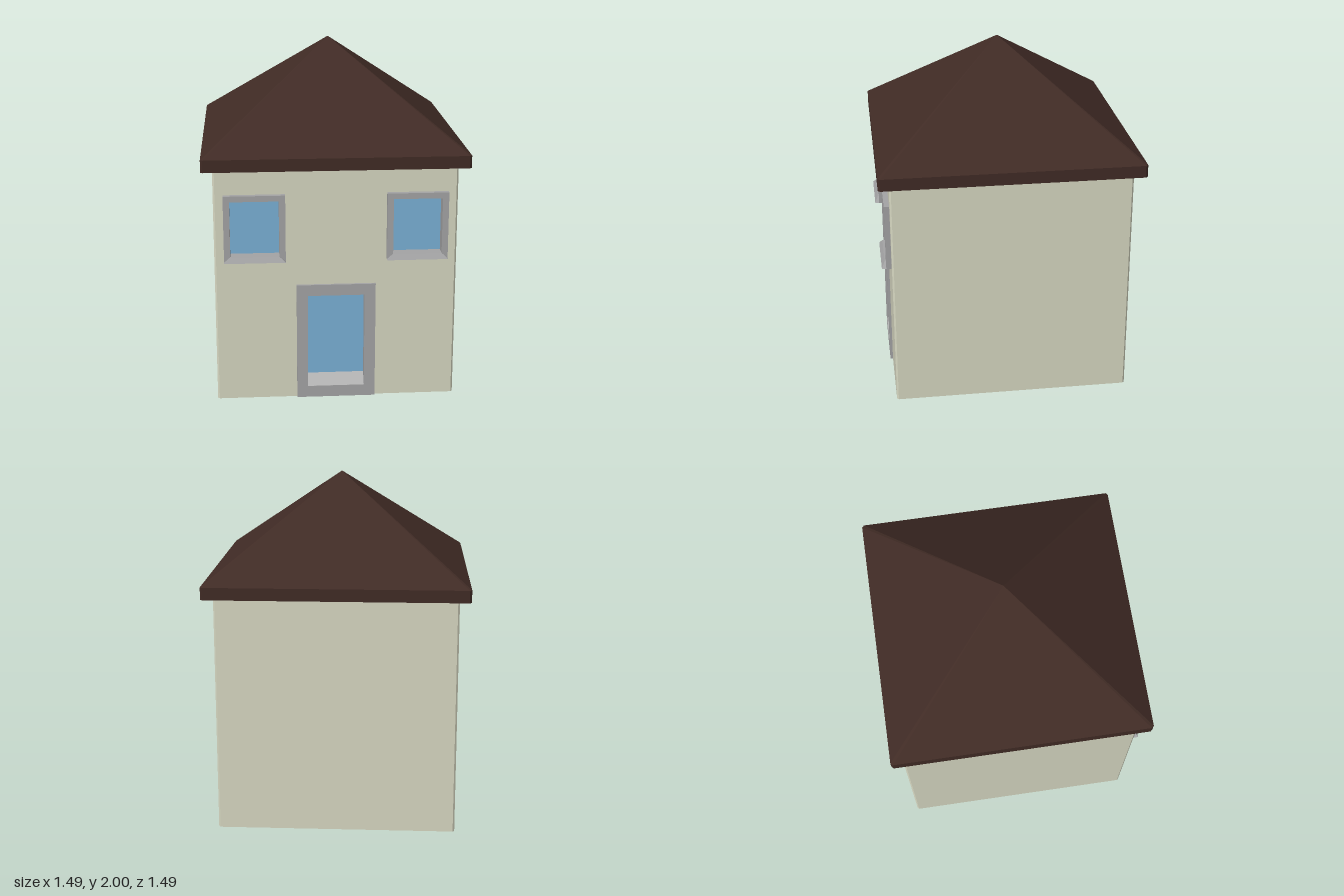
import * as THREE from 'three';

const mat = (color) => new THREE.MeshStandardMaterial({ color, flatShading: true });
const wallMat = mat(0xd6d7c1);
const roofMat = mat(0x402b25);
const frameMat = mat(0xa4a4a5);
const glassMat = mat(0x7ab0d6);
const sillMat = mat(0xb4b4b4);

const GLASS_Z = 0.65;
const HALF = 0.685; // half width of the house
const CUT = 0.01; // corner chamfer

function part(name, geometry, material) {
  const mesh = new THREE.Mesh(geometry, material);
  mesh.name = name;
  return mesh;
}

// Rectangle outline from opposite corners
const rect = (x0, y0, x1, y1) =>
  [[x0, y0], [x1, y0], [x1, y1], [x0, y1]].map((p) => new THREE.Vector2(...p));

// Square with chamfered corners, counter-clockwise
function chamferedSquare(h, c) {
  const k = h - c;
  return [[h, -k], [h, k], [k, h], [-k, h], [-h, k], [-h, -k], [-k, -h], [k, -h]];
}

const extrude = (shape, depth) =>
  new THREE.ExtrudeGeometry(shape, { depth, bevelEnabled: false });

// Extrude a plan outline, given as [x, -z], upwards from y
function extrudeUp(points, y, height) {
  const shape = new THREE.Shape(points.map((p) => new THREE.Vector2(...p)));
  return extrude(shape, height).rotateX(-Math.PI / 2).translate(0, y, 0);
}

// Flat plate in the xy plane with rectangular holes, spanning z0 to z1
function plate(outer, holes, z0, z1) {
  const shape = new THREE.Shape(outer);
  holes.forEach((h) => shape.holes.push(new THREE.Path(h)));
  return extrude(shape, z1 - z0).translate(0, 0, z0);
}

function glassPane(x0, y0, x1, y1) {
  const pane = new THREE.PlaneGeometry(x1 - x0, y1 - y0);
  return part('glass', pane.translate((x0 + x1) / 2, (y0 + y1) / 2, GLASS_Z), glassMat);
}

// Window, centred on its own x = 0
function createWindow() {
  const group = new THREE.Group();
  const [w, ow] = [0.1725, 0.1375];
  group.add(part('windowFrame',
    plate(rect(-w, 0.84, w, 1.225), [rect(-ow, 0.872, ow, 1.192)], 0.645, 0.715), frameMat));
  group.add(glassPane(-ow, 0.872, ow, 1.192));

  // Projecting sill with mitred ends and a sloping face
  const outline = [[-w, 0.842], [w, 0.842], [ow, 0.873], [-ow, 0.873]];
  const sill = plate(outline.map((p) => new THREE.Vector2(...p)), [], 0.69, 0.74);
  const pos = sill.attributes.position;
  for (let i = 0; i < pos.count; i++) {
    if (pos.getY(i) > 0.86 && pos.getZ(i) > 0.7) pos.setZ(i, 0.722);
  }
  sill.computeVertexNormals();
  group.add(part('windowSill', sill, frameMat));
  return group;
}

function createDoor() {
  const group = new THREE.Group();
  group.name = 'door';
  group.add(part('doorFrame',
    plate(rect(-0.225, 0, 0.225, 0.69), [rect(-0.162, 0.068, 0.162, 0.625)], 0.645, 0.7), frameMat));
  group.add(glassPane(-0.162, 0.068, 0.162, 0.625));

  // Sloping threshold: profile in z and y, extruded along x
  const wedge = new THREE.Shape([[-GLASS_Z, 0.068], [-GLASS_Z, 0.13], [-0.699, 0.068]]
    .map((p) => new THREE.Vector2(...p)));
  group.add(part('threshold',
    extrude(wedge, 0.324).rotateY(Math.PI / 2).translate(-0.162, 0, 0), sillMat));
  return group;
}

// Chamfered pyramid rising from the eaves to a point
function hippedRoof(points, y, apex) {
  const verts = [];
  points.forEach(([x, s], i) => {
    const [x2, s2] = points[(i + 1) % points.length];
    verts.push(x, y, -s, x2, y, -s2, 0, apex, 0);
  });
  const g = new THREE.BufferGeometry();
  g.setAttribute('position', new THREE.Float32BufferAttribute(verts, 3));
  g.computeVertexNormals();
  return g;
}

export function createModel() {
  const model = new THREE.Group();
  model.name = 'house';

  // Main body, with the front face set back to take the pierced front wall
  const k = HALF - CUT;
  const plan = chamferedSquare(HALF, CUT);
  plan.splice(7, 0, [-k, -0.64], [k, -0.64]);
  model.add(part('walls', extrudeUp(plan, 0, 1.38), wallMat));

  // Front wall with openings
  const openings = [
    rect(-0.17, 0.06, 0.17, 0.63),
    ...[-1, 1].map((s) => rect(s * 0.4575 - 0.145, 0.865, s * 0.4575 + 0.145, 1.2)),
  ];
  model.add(part('frontWall', plate(rect(-k, 0, k, 1.38), openings, 0.64, HALF), wallMat));

  for (const s of [-1, 1]) {
    const win = createWindow();
    win.name = s > 0 ? 'leftWindow' : 'rightWindow';
    win.position.x = s * 0.4575;
    model.add(win);
  }
  model.add(createDoor());

  // Eaves band and hipped roof
  const eaves = chamferedSquare(0.747, 0.012);
  model.add(part('eaves', extrudeUp(eaves, 1.37, 0.07), roofMat));
  model.add(part('roof', hippedRoof(eaves, 1.44, 2), roofMat));

  return model;
}
